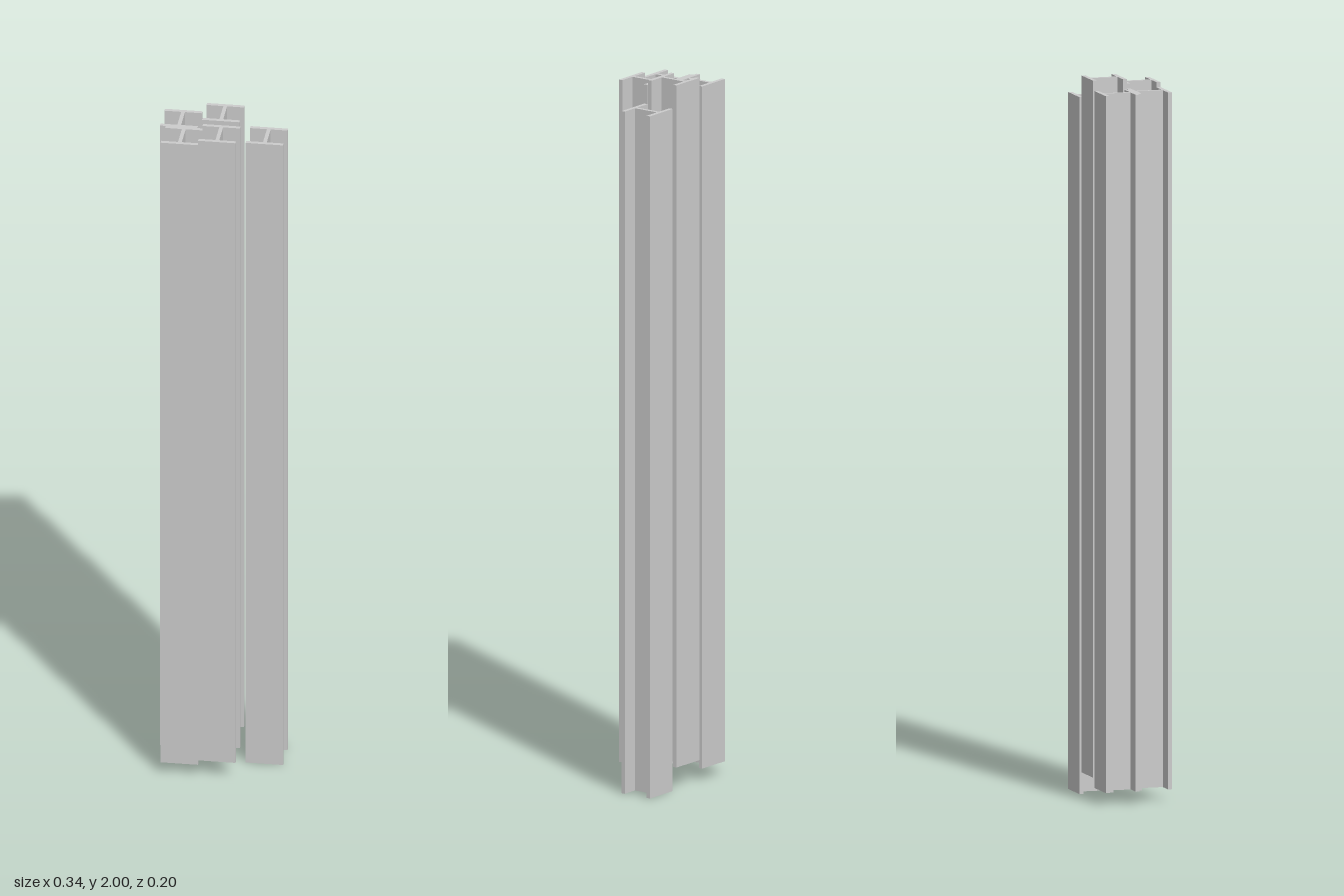
import * as THREE from 'three';

const WIDTH = 0.104, DEPTH = 0.098, FLANGE = 0.0115, WEB = 0.0105, LENGTH = 1.937;

// I-shaped cross-section, mirrored about both axes
function beamProfile() {
  const w = WIDTH / 2, d = DEPTH / 2, t = WEB / 2, f = d - FLANGE;
  const half = [[w, -d], [w, -f], [t, -f], [t, f], [w, f], [w, d]];
  const outline = [...half, ...half.map(([x, y]) => [-x, -y])];
  return new THREE.Shape(outline.map(([x, y]) => new THREE.Vector2(x, y)));
}

export function createModel() {
  const group = new THREE.Group();
  group.name = 'beamStack';
  const material = new THREE.MeshStandardMaterial({ color: 0xcccccc });

  // One upright beam, extruded along y from its foot
  const geometry = new THREE.ExtrudeGeometry(beamProfile(), { depth: LENGTH, bevelEnabled: false });
  geometry.rotateX(-Math.PI / 2);

  // Centre x, foot height and centre z of each beam
  const back = -DEPTH / 2, front = DEPTH / 2;
  const beams = [
    ['backRightBeam', -0.119, 0.036, back],
    ['backMiddleBeam', -0.002, 0.063, back],
    ['backLeftBeam', 0.119, 0, back],
    ['frontRightBeam', -0.103, 0.036, front],
    ['frontLeftBeam', 0.001, 0.05, front],
  ];
  for (const [name, x, y, z] of beams) {
    const beam = new THREE.Mesh(geometry, material);
    beam.name = name;
    beam.position.set(x, y, z);
    group.add(beam);
  }
  return group;
}
